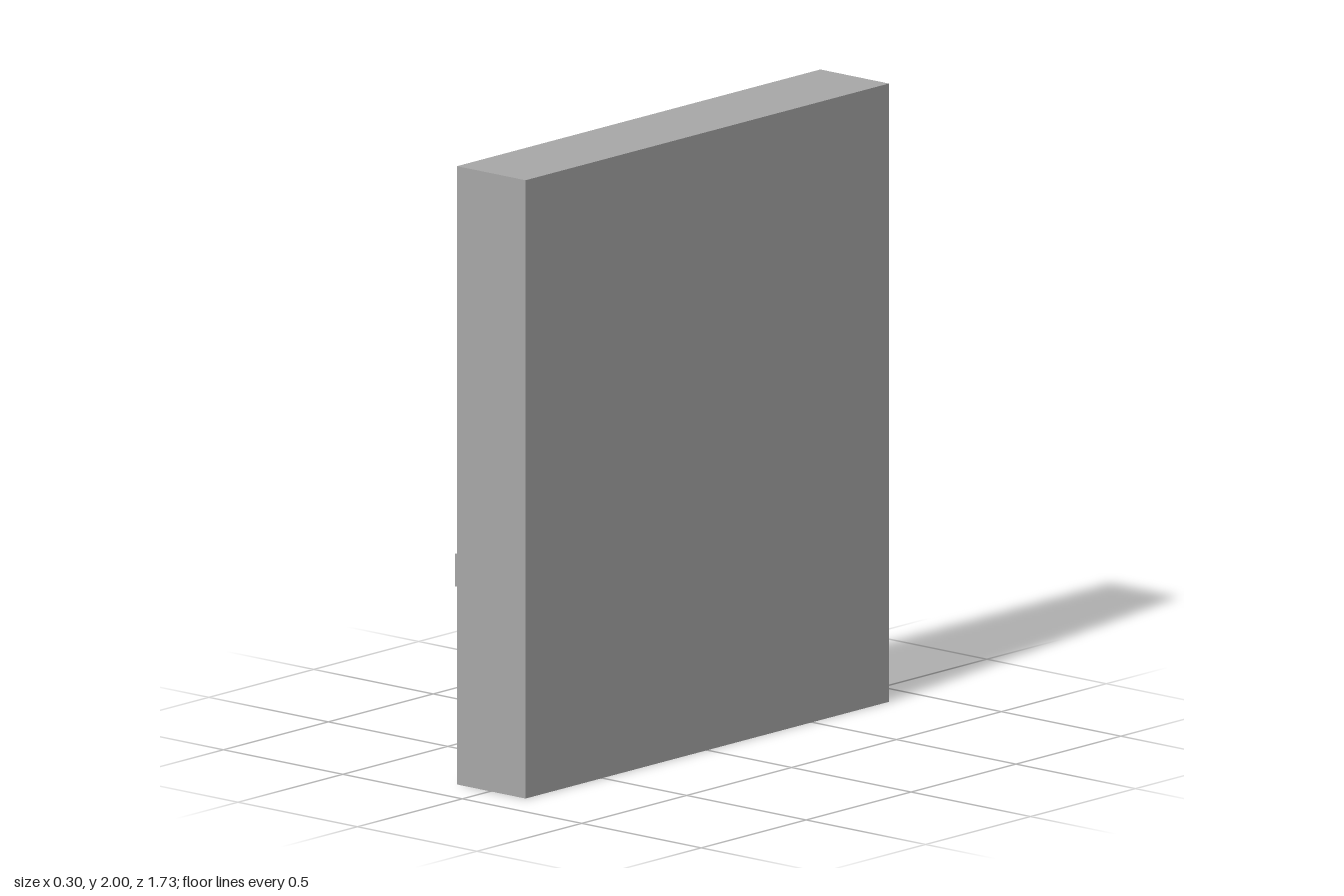
import * as THREE from 'three';

const FRONT = -0.14;  // x of the detailed face
const REAR = 0.147;   // x of the plain face
const HALF = 0.866;   // half length along z

// Horizontal cross-section: detailed face recessed by `depth`, with ends bevelled over `inset`
function section([y, depth, inset]) {
  return [
    [REAR, y, HALF], [REAR, y, -HALF], [FRONT, y, -HALF],
    [FRONT + depth, y, -HALF + inset], [FRONT + depth, y, HALF - inset], [FRONT, y, HALF],
  ];
}

function loft(rows) {
  const rings = rows.map(section);
  const n = rings[0].length;
  const pos = [];
  const tri = (...pts) => pts.forEach((p) => pos.push(...p));
  for (let i = 0; i < rings.length - 1; i++) {
    for (let k = 0; k < n; k++) {
      const j = (k + 1) % n;
      const a = rings[i][k], b = rings[i][j], c = rings[i + 1][j], d = rings[i + 1][k];
      tri(a, b, c);
      tri(a, c, d);
    }
  }
  const bottom = rings[0], top = rings[rings.length - 1];
  for (let k = 1; k < n - 1; k++) {
    tri(top[0], top[k], top[k + 1]);
    tri(bottom[0], bottom[k + 1], bottom[k]);
  }
  const g = new THREE.BufferGeometry();
  g.setAttribute('position', new THREE.Float32BufferAttribute(pos, 3));
  g.computeVertexNormals();
  return g;
}

export function createModel() {
  const model = new THREE.Group();
  model.name = 'wallPanel';
  const grey = new THREE.MeshStandardMaterial({ color: 0xa8a8a8 });
  grey.name = 'grey';

  const add = (name, geometry) => {
    const mesh = new THREE.Mesh(geometry, grey);
    mesh.name = name;
    model.add(mesh);
    return mesh;
  };
  // Plate running from outer face x0 inwards to x1
  const plate = (name, x0, x1, y0, y1, z0, z1) =>
    add(name, new THREE.BoxGeometry(x1 - x0, y1 - y0, z1 - z0))
      .position.set((x0 + x1) / 2, (y0 + y1) / 2, (z0 + z1) / 2);

  // Body: height, recess depth, end inset
  add('body', loft([
    [0, 0, 0], [0.03, 0.03, 0.1], [0.4, 0.03, 0.03], [0.412, 0, 0],
    [0.95, 0, 0], [1.05, 0.02, 0.12], [1.335, 0, 0],
    [1.367, 0.032, 0.07], [1.55, 0.028, 0.06], [2, 0, 0],
  ]));

  // Staggered rails on the middle panel
  plate('upperRail', -0.153, -0.11, 1.17, 1.26, -0.26, 0.82);
  plate('lowerRail', -0.148, -0.11, 1.04, 1.13, -0.72, 0.36);

  // Full length band with paired bolts
  plate('band', -0.148, -0.13, 0.64, 0.745, -HALF, HALF);
  for (const z of [-0.605, 0.605]) {
    for (const y of [0.67, 0.715]) {
      const bolt = add('bolt', new THREE.CylinderGeometry(0.013, 0.013, 0.02, 12));
      bolt.rotation.z = Math.PI / 2;
      bolt.position.set(-0.145, y, z);
    }
    plate('seam', -0.143, -0.13, 0.42, 0.515, z - 0.003, z + 0.003);
  }

  // Vent louvres
  for (let i = 0; i < 4; i++) {
    const y = 0.422 + i * 0.025;
    plate('louvre', -0.147, -0.13, y, y + 0.014, -0.21, 0.21);
  }

  // Lower access panels
  for (const z of [-0.5, 0.5]) {
    plate('sidePanel', -0.128, -0.1, 0.065, 0.365, z - 0.21, z + 0.21);
  }
  plate('upperCentrePanel', -0.122, -0.1, 0.2, 0.345, -0.21, 0.21);
  plate('lowerCentrePanel', -0.134, -0.1, 0.05, 0.185, -0.21, 0.21);

  return model;
}
